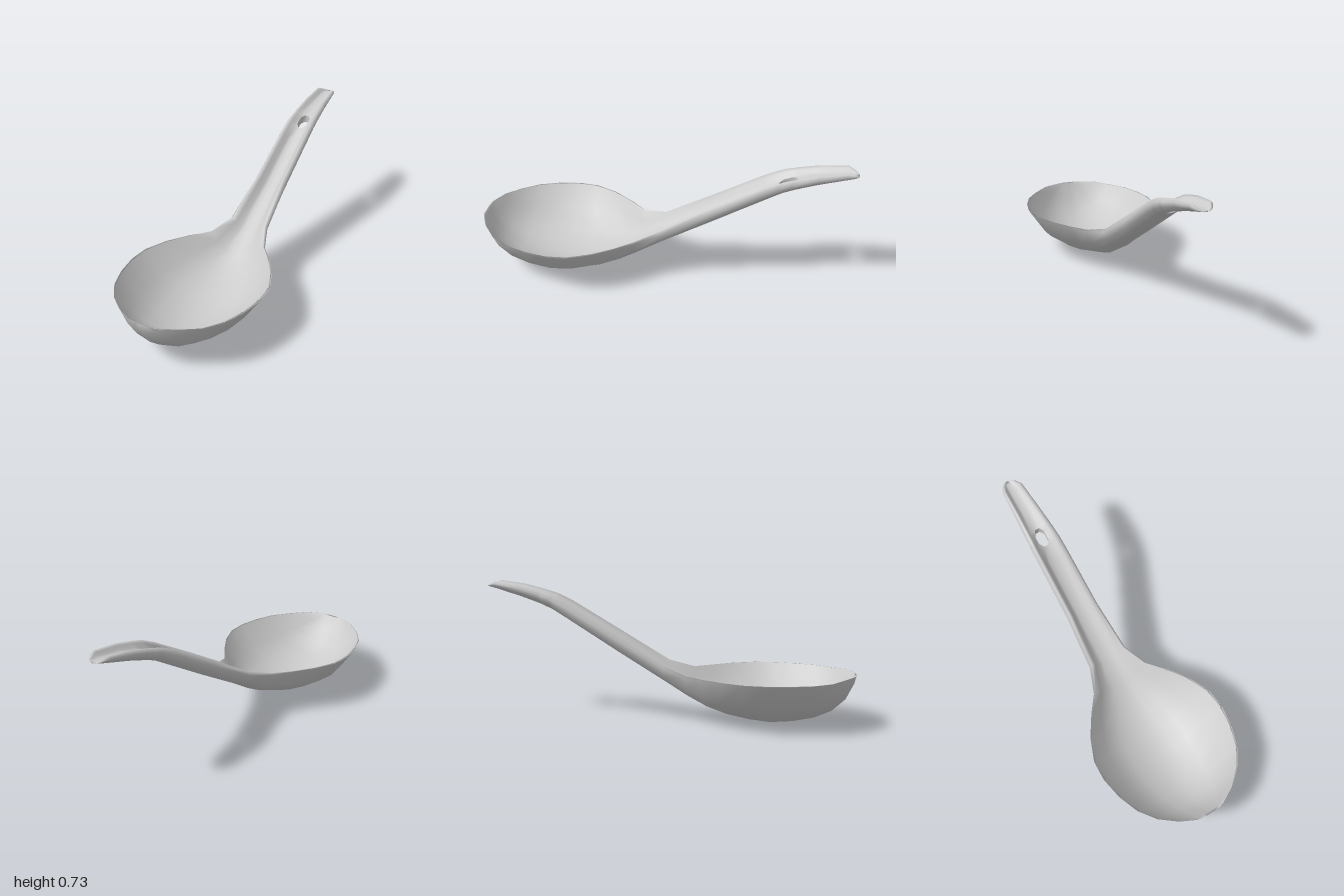
import * as THREE from 'three';
import { mergeGeometries, mergeVertices } from 'three/addons/utils/BufferGeometryUtils.js';

// Stations from bowl front to handle tip:
// z, half width, rim height, underside height, floor thickness, half width of hole (if any)
const stations = [
  [1.0, 0.05, 0.272, 0.272, 0],
  [0.99, 0.085, 0.272, 0.222, 0.046],
  [0.95, 0.165, 0.272, 0.14, 0.05],
  [0.88, 0.25, 0.263, 0.075, 0.038],
  [0.79, 0.315, 0.262, 0.035, 0.032],
  [0.68, 0.355, 0.262, 0.011, 0.03],
  [0.56, 0.375, 0.262, 0.0, 0.03],
  [0.45, 0.367, 0.262, 0.011, 0.03],
  [0.33, 0.315, 0.262, 0.034, 0.031],
  [0.22, 0.24, 0.261, 0.072, 0.033],
  [0.13, 0.168, 0.262, 0.12, 0.035],
  [0.0, 0.113, 0.305, 0.203, 0.036],
  [-0.25, 0.092, 0.457, 0.352, 0.037],
  [-0.53, 0.087, 0.62, 0.524, 0.039],
  [-0.605, 0.085, 0.656, 0.57, 0.041, 0.012],
  [-0.628, 0.083, 0.666, 0.583, 0.041, 0.028],
  [-0.672, 0.08, 0.679, 0.602, 0.041, 0.028],
  [-0.695, 0.078, 0.686, 0.611, 0.041, 0.012],
  [-0.8, 0.069, 0.713, 0.647, 0.033],
  [-0.94, 0.058, 0.733, 0.689, 0.014],
  [-0.98, 0.038, 0.717, 0.7, 0.006],
  [-1.0, 0.014, 0.706, 0.706, 0],
];
const HOLE_START = 14, HOLE_END = 17;

// Half sections from keel to rim crest: x as part of the half width, height as part of the depth
const outerSection = {
  bowl: [[0, 0], [0.22, 0.085], [0.44, 0.17], [0.75, 0.47], [1, 1], [0.97, 1]],
  handle: [[0, 0], [0.3, 0.04], [0.58, 0.11], [0.88, 0.38], [1, 0.72], [0.82, 1]],
};
const innerSection = {
  bowl: [[0, 0], [0.22, 0.085], [0.44, 0.17], [0.74, 0.47], [0.97, 1]],
  handle: [[0, 0], [0.3, 0.05], [0.47, 0.22], [0.65, 0.72], [0.82, 1]],
};

// Grid of points for one face of the shell; the bowl section blends into the handle section
function shellPoints({ bowl, handle }, isInner) {
  return stations.map(([z, w, rim, bottom, t, hole]) => {
    const f = 1 - THREE.MathUtils.smoothstep(z, -0.15, 0.25);
    const low = isInner ? bottom + t : bottom;
    const half = bowl.map(([x, h], k) => {
      const px = hole && k === 1 ? hole : w * THREE.MathUtils.lerp(x, handle[k][0], f);
      const py = low + (rim - low) * THREE.MathUtils.lerp(h, handle[k][1], f);
      return new THREE.Vector3(px, py, z);
    });
    const mirrored = half.slice(1).reverse().map((p) => new THREE.Vector3(-p.x, p.y, z));
    return [...mirrored, ...half];
  });
}

function geometryFrom(points, index) {
  const g = new THREE.BufferGeometry().setFromPoints(points);
  g.setIndex(index);
  return g;
}

// Sheet over the grid, leaving the hole open
function sheet(grid, up) {
  const cols = grid[0].length, mid = (cols - 1) / 2, index = [];
  for (let i = 0; i < grid.length - 1; i++) {
    for (let j = 0; j < cols - 1; j++) {
      if (i >= HOLE_START && i < HOLE_END && (j === mid - 1 || j === mid)) continue;
      const a = i * cols + j, b = a + 1, c = a + cols, d = c + 1;
      if (up) index.push(a, b, d, a, d, c);
      else index.push(a, d, b, a, c, d);
    }
  }
  return geometryFrom(grid.flat(), index);
}

// Points round the edge of the hole in one face
function holeLoop(grid) {
  const mid = (grid[0].length - 1) / 2;
  const rows = grid.slice(HOLE_START, HOLE_END + 1);
  return [
    rows[0][mid],
    ...rows.map((row) => row[mid - 1]),
    rows[rows.length - 1][mid],
    ...rows.map((row) => row[mid + 1]).reverse(),
  ];
}

// Closed band joining matching loops on the two faces
function band(from, to) {
  const n = from.length, index = [];
  for (let k = 0; k < n; k++) {
    const m = (k + 1) % n;
    index.push(k, m, n + m, k, n + m, n + k);
  }
  return geometryFrom([...from, ...to], index);
}

export function createModel() {
  const group = new THREE.Group();
  group.name = 'soupSpoon';
  const material = new THREE.MeshStandardMaterial({ color: 0xcccccc, side: THREE.DoubleSide });
  const add = (name, geometry) => {
    geometry.computeVertexNormals();
    const mesh = new THREE.Mesh(geometry, material);
    mesh.name = name;
    group.add(mesh);
  };
  const outer = shellPoints(outerSection, false), inner = shellPoints(innerSection, true);

  // Bowl and handle in one shell, welded so the rim rounds over smoothly
  add('bowlAndHandle', mergeVertices(mergeGeometries([sheet(outer, false), sheet(inner, true)])));
  // Hanging hole through the handle
  add('hangingHoleWall', band(holeLoop(outer), holeLoop(inner)));
  return group;
}
